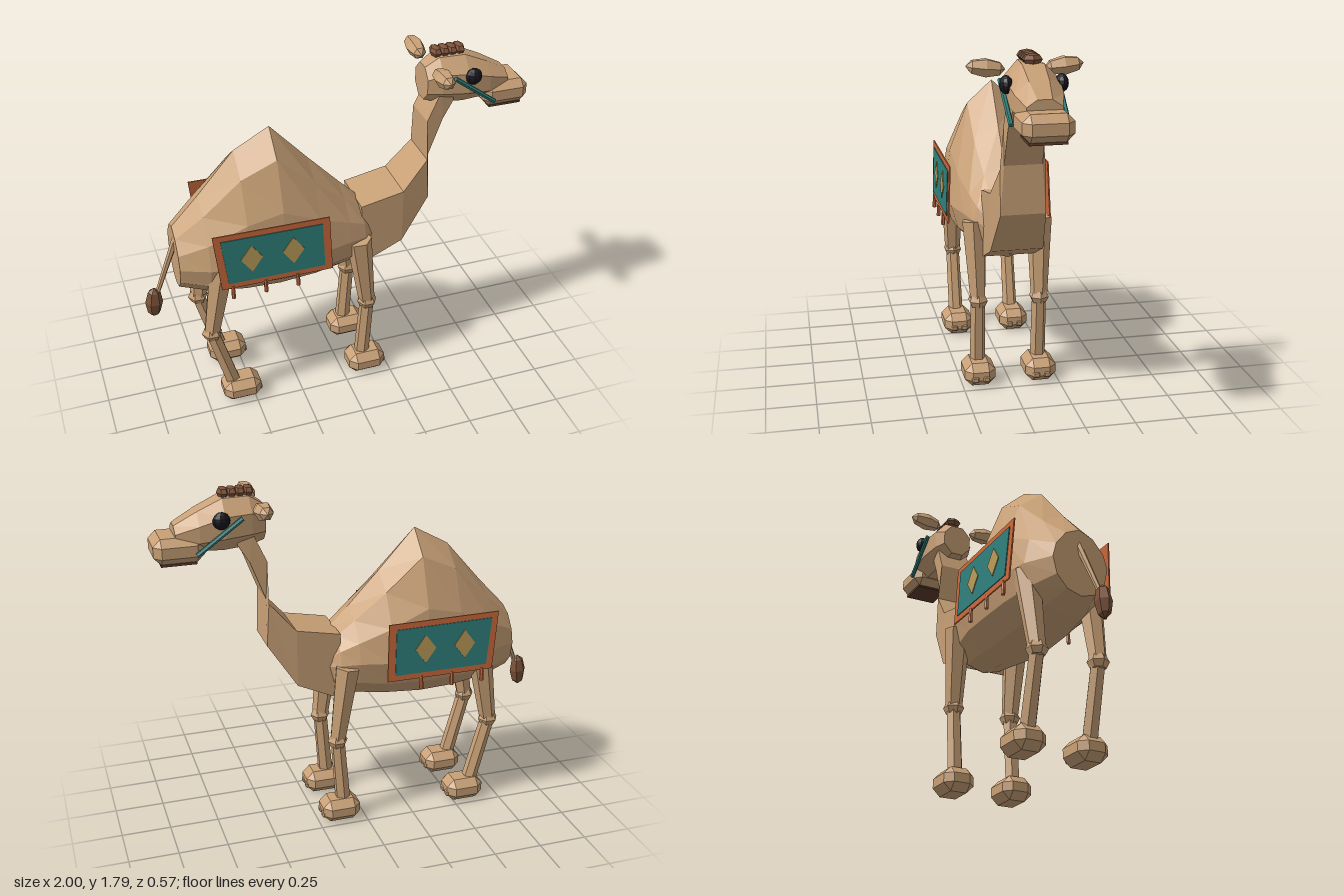
import * as THREE from 'three';
import { ConvexGeometry } from 'three/addons/geometries/ConvexGeometry.js';

const mat = (name, color) => Object.assign(new THREE.MeshStandardMaterial({ color }), { name });

// Faceted normals for any geometry
function facet(g) {
  const f = g.index ? g.toNonIndexed() : g;
  f.computeVertexNormals();
  return f;
}

// Closed skin through rings of points [x, y, z]; rings run top, +z, bottom, -z
function loft(rings) {
  const pos = [], n = rings[0].length;
  const centre = (r) => [0, 1, 2].map((k) => r.reduce((s, p) => s + p[k], 0) / n);
  const first = rings[0], last = rings[rings.length - 1];
  for (let j = 0; j < n; j++) {
    const k = (j + 1) % n;
    for (let i = 0; i + 1 < rings.length; i++) {
      const a = rings[i][j], b = rings[i][k], c = rings[i + 1][k], d = rings[i + 1][j];
      pos.push(...a, ...b, ...c, ...a, ...c, ...d);
    }
    pos.push(...centre(first), ...first[k], ...first[j]);
    pos.push(...centre(last), ...last[j], ...last[k]);
  }
  const g = new THREE.BufferGeometry();
  g.setAttribute('position', new THREE.Float32BufferAttribute(pos, 3));
  return facet(g);
}

// Box of full size w, h, d with all edges cut by c
function cutBox(w, h, d, c) {
  const pts = [], x = w / 2, y = h / 2, z = d / 2;
  for (const a of [-1, 1]) for (const b of [-1, 1]) for (const e of [-1, 1]) {
    pts.push(new THREE.Vector3(a * x, b * (y - c), e * (z - c)),
      new THREE.Vector3(a * (x - c), b * y, e * (z - c)),
      new THREE.Vector3(a * (x - c), b * (y - c), e * z));
  }
  return facet(new ConvexGeometry(pts));
}

// Tapered rod from point p (radius r0) to point q (radius r1)
function rod(p, q, r0, r1, sides = 6) {
  const a = new THREE.Vector3(...p), b = new THREE.Vector3(...q), dir = b.clone().sub(a);
  const g = new THREE.CylinderGeometry(r1, r0, dir.length(), sides);
  g.applyQuaternion(new THREE.Quaternion().setFromUnitVectors(new THREE.Vector3(0, 1, 0), dir.normalize()));
  const m = a.add(b).multiplyScalar(0.5);
  return facet(g.translate(m.x, m.y, m.z));
}

const blob = (rx, ry, rz, ws = 6, hs = 4) => facet(new THREE.SphereGeometry(1, ws, hs).scale(rx, ry, rz));

export function createModel() {
  const model = new THREE.Group();
  model.name = 'camel';
  const tan = mat('tan coat', 0xc8a076), brown = mat('brown hair', 0x7c5238);
  const teal = mat('teal cloth', 0x2f7f7a), orange = mat('orange trim', 0xc8683a);
  const gold = mat('gold diamonds', 0xb89a55), black = mat('eye black', 0x17171d);
  const mouthBrown = mat('mouth brown', 0x5e3c2a);

  const add = (name, geo, material, p = [0, 0, 0], parent = model) => {
    const m = new THREE.Mesh(geo, material);
    m.name = name;
    m.position.set(...p);
    parent.add(m);
    return m;
  };

  // Body with a single hump: x, top, widest height, bottom, half width
  const body = [
    [-0.83, 1.03, 0.86, 0.69, 0.145], [-0.69, 1.18, 0.87, 0.65, 0.215], [-0.5, 1.40, 0.88, 0.625, 0.25],
    [-0.32, 1.50, 0.88, 0.62, 0.258], [-0.13, 1.29, 0.88, 0.635, 0.25], [0.03, 1.12, 0.88, 0.655, 0.21],
    [0.12, 1.03, 0.87, 0.665, 0.18], [0.18, 0.93, 0.85, 0.70, 0.12],
  ].map(([x, top, mid, bot, w]) => Array.from({ length: 12 }, (_, j) => {
    const c = [1, 0.81, 0.42, 0, -0.5, -0.866, -1, -0.866, -0.5, 0, 0.42, 0.81][j];
    return [x, mid + c * (c > 0 ? top - mid : mid - bot), w * Math.sin(j * Math.PI / 6)];
  }));
  add('body', loft(body), tan);

  // Neck: back point, front point, half width
  const neck = [
    [0.11, 1.025, 0.13, 0.68, 0.133], [0.335, 1.07, 0.335, 0.775, 0.132], [0.465, 1.22, 0.48, 1.0, 0.11],
    [0.462, 1.43, 0.474, 1.24, 0.092], [0.53, 1.58, 0.545, 1.43, 0.088], [0.6, 1.62, 0.6, 1.52, 0.08],
  ].map(([bx, by, fx, fy, w]) => [[bx, by, -w], [bx, by, w], [fx, fy, w], [fx, fy, -w]]);
  add('neck', loft(neck), tan);

  // Head: x, top, bottom, half width
  const head = [
    [0.46, 1.70, 1.525, 0.08], [0.53, 1.745, 1.505, 0.105], [0.66, 1.745, 1.495, 0.122],
    [0.78, 1.69, 1.50, 0.11], [0.89, 1.63, 1.52, 0.08],
  ].map(([x, top, bot, w]) => Array.from({ length: 8 }, (_, j) => {
    const a = (j - 0.5) * Math.PI / 4, k = 1 / Math.cos(Math.PI / 8);
    return [x, (top + bot) / 2 + (top - bot) / 2 * k * Math.cos(a), w * k * Math.sin(a)];
  }));
  add('head', loft(head), tan);
  add('muzzle', cutBox(0.24, 0.125, 0.23, 0.036), tan, [0.877, 1.522, 0]);
  add('mouth', new THREE.BoxGeometry(0.17, 0.012, 0.17), mouthBrown, [0.88, 1.456, 0]);

  // Hair tuft along the crown
  for (let i = 0; i < 4; i++) {
    add('hairTuft', blob(0.03, 0.028, 0.05), brown, [0.525 + i * 0.04, 1.762, 0]);
  }

  // Ears, eyes, nostrils and halter straps
  for (const s of [-1, 1]) {
    const ear = blob(0.05, 0.045, 0.09);
    const earGeo = facet(new THREE.SphereGeometry(1, 6, 4).rotateX(Math.PI / 2).scale(0.047, 0.046, 0.092));
    ear.dispose();
    add('ear', earGeo, tan, [0.495, 1.705, s * 0.182]).rotation.x = -s * 0.1;
    add('eye', blob(0.042, 0.042, 0.03, 10, 8), black, [0.68, 1.66, s * 0.125]);
    add('nostril', new THREE.BoxGeometry(0.012, 0.012, 0.022), mouthBrown, [0.982, 1.548, s * 0.06]);
    add('halterStrap', rod([0.58, 1.665, s * 0.132], [0.8, 1.505, s * 0.127], 0.012, 0.012), teal);
  }

  // Legs: hip, knee and ankle as [x, y]
  const legs = {
    frontLeg: [[0.085, 0.86], [0.138, 0.45], [0.112, 0.1], 0.13],
    hindLeg: [[-0.63, 0.86], [-0.70, 0.45], [-0.605, 0.1], -0.565],
  };
  for (const [name, [hip, knee, ankle, footX]] of Object.entries(legs)) for (const s of [-1, 1]) {
    const leg = new THREE.Group();
    leg.name = name;
    model.add(leg);
    const z = s * 0.16;
    add('upperLeg', rod([...hip, s * 0.168], [...knee, z], 0.066, 0.042), tan, undefined, leg);
    add('knee', blob(0.053, 0.045, 0.053), tan, [...knee, z], leg);
    add('lowerLeg', rod([...knee, z], [...ankle, z], 0.037, 0.04), tan, undefined, leg);
    add('foot', cutBox(0.2, 0.122, 0.16, 0.038), tan, [footX, 0.061, z], leg);
    for (const t of [-1, 1]) {
      add('toe', cutBox(0.04, 0.035, 0.04, 0.008), tan, [footX + 0.085, 0.045, z + t * 0.028], leg);
    }
  }

  // Tail with tuft
  add('tail', rod([-0.81, 0.97, 0], [-0.935, 0.67, 0.03], 0.018, 0.012), tan);
  const tuft = add('tailTuft', blob(0.045, 0.088, 0.04), brown, [-0.957, 0.615, 0.03]);
  tuft.rotation.z = -0.08;

  // Saddle cloth on each flank, heights measured from its lower edge
  const diamond = (x) => [[x - 0.055, 0.15], [x, 0.075], [x + 0.055, 0.15], [x, 0.225]];
  for (const s of [-1, 1]) {
    const cloth = new THREE.Group();
    cloth.name = 'saddleCloth';
    cloth.position.set(0, 0.8, s * 0.268);
    cloth.rotation.x = -s * 0.045;
    model.add(cloth);
    const plate = (name, pts, z, material) => {
      const shape = new THREE.Shape(pts.map((p) => new THREE.Vector2(...p)));
      const g = new THREE.ExtrudeGeometry(shape, { depth: 0.007, bevelEnabled: false });
      add(name, g, material, [0, 0, s > 0 ? z : -z - 0.007], cloth);
    };
    plate('clothBorder', [[-0.655, -0.005], [-0.09, -0.005], [-0.1, 0.295], [-0.685, 0.3]], 0, orange);
    plate('clothPanel', [[-0.62, 0.025], [-0.13, 0.025], [-0.138, 0.265], [-0.648, 0.27]], 0.004, teal);
    for (const x of [-0.5, -0.29]) plate('clothDiamond', diamond(x), 0.008, gold);
    for (const x of [-0.6, -0.435, -0.27]) {
      add('tassel', rod([x, 0.005, s * 0.004], [x, -0.065, s * 0.004], 0.009, 0.011), orange, undefined, cloth);
    }
  }
  return model;
}
